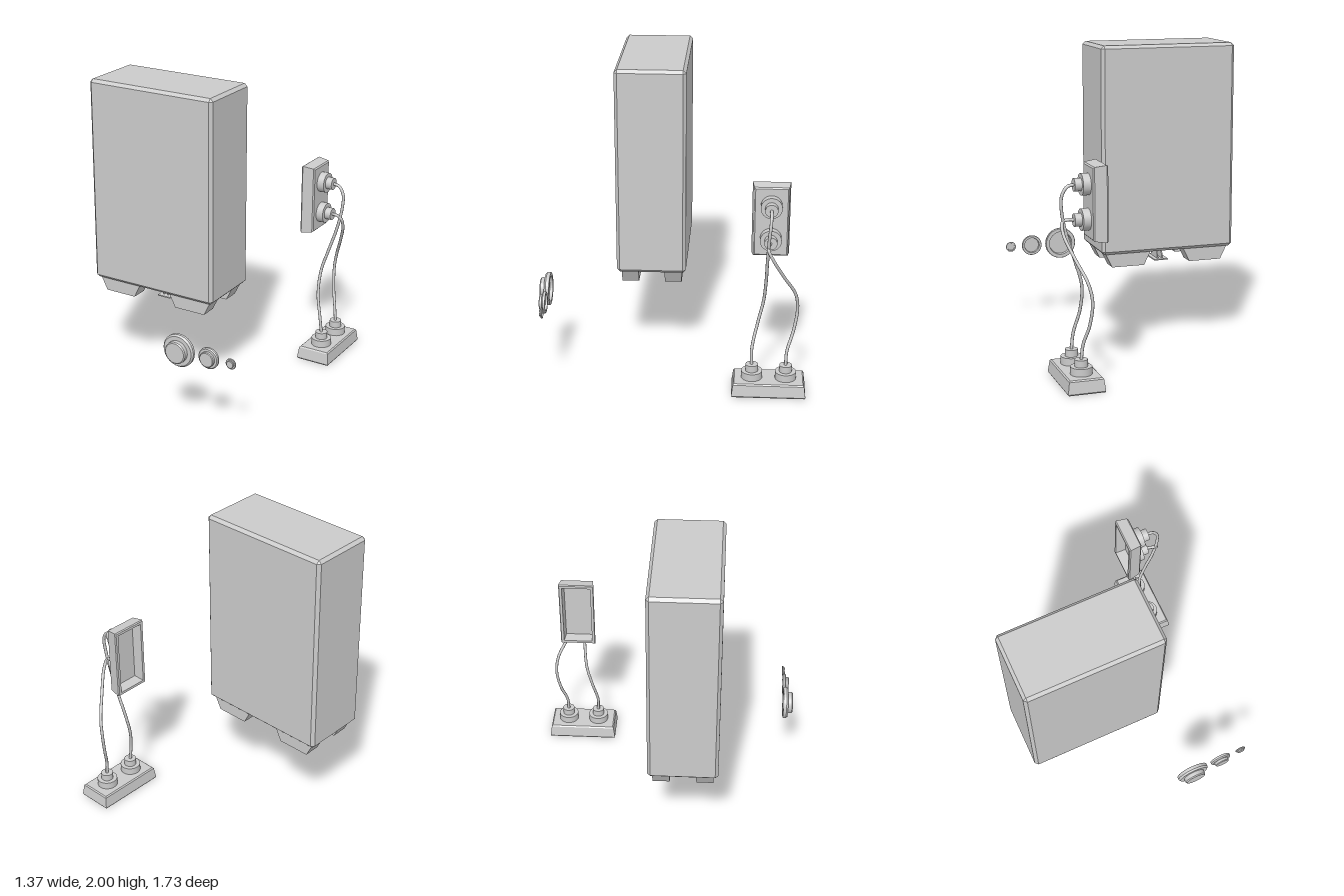
import * as THREE from 'three';
import { ConvexGeometry } from 'three/addons/geometries/ConvexGeometry.js';

const flat = new THREE.MeshStandardMaterial({ color: 0xcccccc, flatShading: true, side: THREE.DoubleSide });
const smooth = new THREE.MeshStandardMaterial({ color: 0xcccccc });

function add(parent, name, geometry, material, x = 0, y = 0, z = 0) {
  const mesh = new THREE.Mesh(geometry, material);
  mesh.name = name;
  mesh.position.set(x, y, z);
  parent.add(mesh);
  return mesh;
}

// Box with every edge chamfered by c
function chamferedBox(w, h, d, c) {
  const points = [];
  for (const sx of [-1, 1]) for (const sy of [-1, 1]) for (const sz of [-1, 1]) {
    const [x, y, z] = [w / 2, h / 2, d / 2];
    points.push(
      new THREE.Vector3(sx * x, sy * (y - c), sz * (z - c)),
      new THREE.Vector3(sx * (x - c), sy * y, sz * (z - c)),
      new THREE.Vector3(sx * (x - c), sy * (y - c), sz * z));
  }
  return new ConvexGeometry(points);
}

// Skin over rectangular rings [halfX, halfZ, y]; both ends are closed
function rectLoft(rings) {
  const pos = [], index = [];
  for (const [a, b, y] of rings) pos.push(-a, y, b, a, y, b, a, y, -b, -a, y, -b);
  for (let r = 0; r < rings.length - 1; r++) {
    for (let i = 0; i < 4; i++) {
      const a = r * 4 + i, b = r * 4 + (i + 1) % 4;
      index.push(a, b, b + 4, a, b + 4, a + 4);
    }
  }
  const t = (rings.length - 1) * 4;
  index.push(0, 2, 1, 0, 3, 2, t, t + 1, t + 2, t, t + 2, t + 3);
  const g = new THREE.BufferGeometry();
  g.setAttribute('position', new THREE.Float32BufferAttribute(pos, 3));
  g.setIndex(index);
  const out = g.toNonIndexed();
  out.computeVertexNormals();
  return out;
}

const lathe = (profile) =>
  new THREE.LatheGeometry(profile.map(([r, y]) => new THREE.Vector2(r, y)), 32).toNonIndexed();

// Hollow plate with two stepped plugs, long along local x
function connectorPlate(name) {
  const g = new THREE.Group();
  g.name = name;
  add(g, 'plateShell', rectLoft([
    [0.205, 0.088, 0.07], [0.213, 0.096, 0],
    [0.23, 0.113, 0], [0.235, 0.118, 0.008],
    [0.225, 0.108, 0.082], [0.217, 0.1, 0.09],
  ]), flat);
  for (const x of [-0.1075, 0.1075]) {
    add(g, 'plugBase', new THREE.CylinderGeometry(0.067, 0.067, 0.05, 32), smooth, x, 0.113, 0);
    add(g, 'plugNeck', new THREE.CylinderGeometry(0.04, 0.04, 0.046, 32), smooth, x, 0.159, 0);
  }
  return g;
}

function cable(parent, name, points) {
  const curve = new THREE.CatmullRomCurve3(points.map((p) => new THREE.Vector3(...p)));
  add(parent, name, new THREE.TubeGeometry(curve, 72, 0.01, 10), smooth);
}

export function createModel() {
  const model = new THREE.Group();
  model.name = 'speakerParts';

  // Cabinet
  add(model, 'cabinet', chamferedBox(0.91, 1.36, 0.45, 0.02), flat, -0.235, 1.32, 0.145);

  // Four tapered feet
  for (const x of [-0.505, 0.035]) for (const z of [0.285, 0.005]) {
    add(model, 'foot', rectLoft([[0.11, 0.055, 0], [0.155, 0.055, 0.09]]), flat, x, 0.55, z);
  }

  // Small bracket under the cabinet: plate, two half-disc cheeks and a pin
  const bracket = new THREE.Group();
  bracket.name = 'bracket';
  bracket.position.set(-0.233, 0.545, 0.145);
  model.add(bracket);
  add(bracket, 'bracketPlate', new THREE.BoxGeometry(0.095, 0.008, 0.18), flat, 0, 0.004, 0);
  const half = new THREE.Shape();
  half.absarc(0, 0, 0.065, 0, Math.PI);
  half.closePath();
  for (const x of [-0.02, 0.012]) {
    const cheek = new THREE.ExtrudeGeometry(half, { depth: 0.008, bevelEnabled: false, curveSegments: 24 });
    add(bracket, 'bracketCheek', cheek, flat, x, 0.008, 0).rotation.y = Math.PI / 2;
  }
  add(bracket, 'bracketPin', new THREE.CylinderGeometry(0.006, 0.006, 0.09, 12), smooth, 0, 0.05, 0);

  // Three hollow stepped knobs, facing forward
  const knobs = [
    ['largeKnob', 0.26, 0.108, 0.072, 0.033, 0.066],
    ['mediumKnob', 0.47, 0.07, 0.049, 0.022, 0.042],
    ['smallKnob', 0.622, 0.035, 0.024, 0.01, 0.02],
  ];
  for (const [name, x, R, r, step, top] of knobs) {
    const c = R * 0.09;
    const geometry = lathe([
      [0, step * 0.6], [R * 0.72, step * 0.6], [R * 0.76, 0], [R * 0.97, 0],
      [R, c * 0.5], [R, step - c * 1.2], [R - c, step], [r, step],
      [r, top - c * 0.7], [r - c * 0.7, top], [0, top],
    ]);
    geometry.computeVertexNormals();
    add(model, name, geometry, flat, x, 0.532, 0.798).rotation.x = Math.PI / 2;
  }

  // Upright and floor connector plates
  const upright = connectorPlate('uprightPlate');
  upright.position.set(0.387, 1.122, -0.62);
  upright.rotation.z = -Math.PI / 2;
  const floor = connectorPlate('floorPlate');
  floor.position.set(0.563, 0, -0.628);
  floor.rotation.y = Math.PI / 2;
  model.add(upright, floor);

  // Cables between the plates
  cable(model, 'upperCable', [
    [0.555, 1.23, -0.62], [0.605, 1.222, -0.62], [0.64, 1.17, -0.618], [0.642, 1.08, -0.61],
    [0.61, 0.92, -0.602], [0.555, 0.75, -0.597], [0.512, 0.6, -0.585], [0.513, 0.44, -0.55],
    [0.55, 0.28, -0.518], [0.563, 0.17, -0.52],
  ]);
  cable(model, 'lowerCable', [
    [0.555, 1.015, -0.62], [0.6, 1.017, -0.61], [0.635, 1.005, -0.605], [0.64, 0.94, -0.635],
    [0.59, 0.8, -0.71], [0.53, 0.66, -0.785], [0.508, 0.55, -0.8], [0.52, 0.4, -0.778],
    [0.552, 0.27, -0.74], [0.563, 0.17, -0.735],
  ]);

  return model;
}
